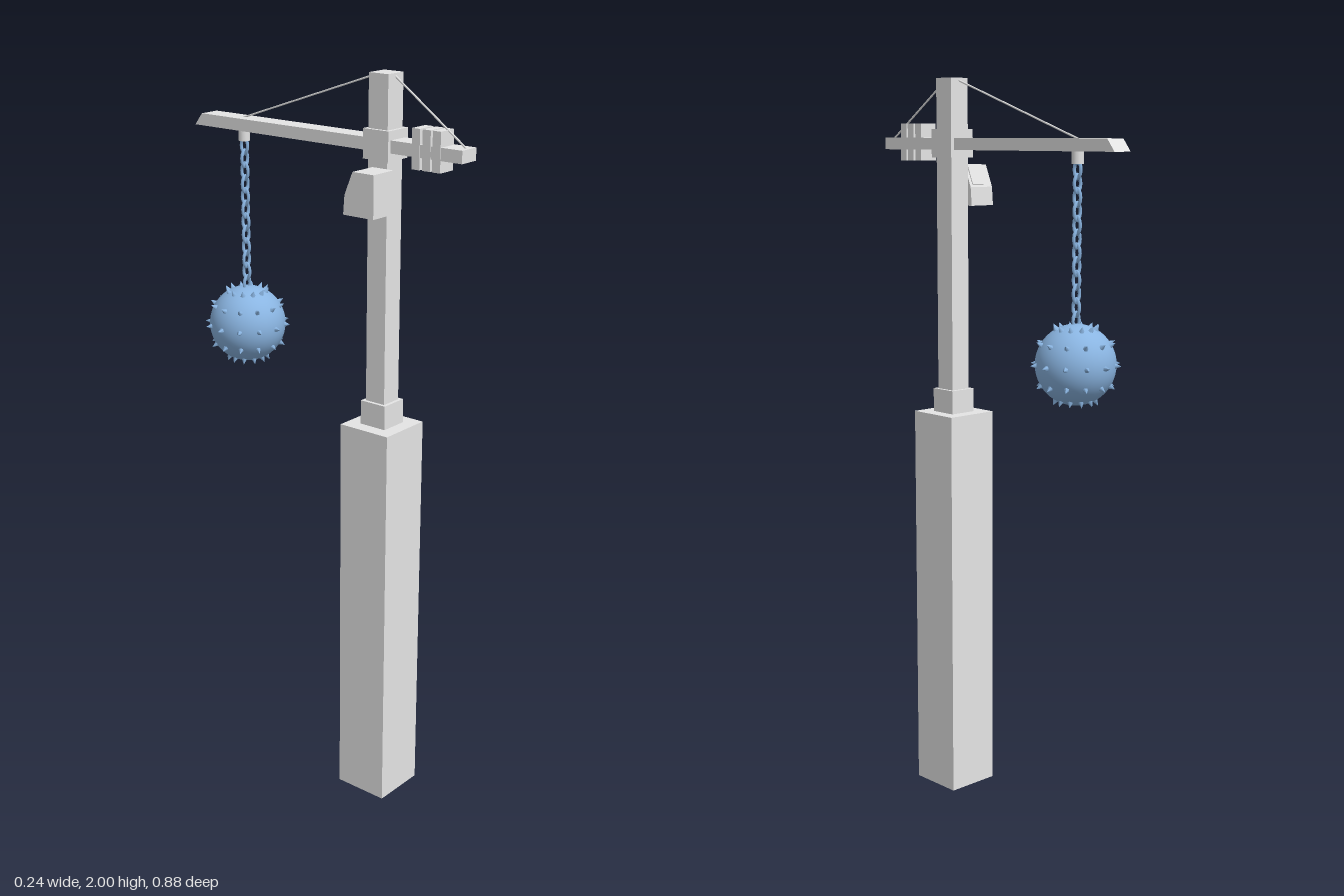
import * as THREE from 'three';

const mat = (name, color) => {
  const m = new THREE.MeshStandardMaterial({ color });
  m.name = name;
  return m;
};

export function createModel() {
  const model = new THREE.Group();
  model.name = 'wreckingBallCrane';
  const grey = mat('paleGrey', 0xe4e4e4);
  const blue = mat('steelBlue', 0x8ab5e2);

  const CX = -0.006, MZ = 0.186;           // mast axis
  const BALL = new THREE.Vector3(-0.001, 1.273, -0.293), R = 0.105;

  const add = (name, geo, material, x = 0, y = 0, z = 0, parent = model) => {
    const mesh = new THREE.Mesh(geo, material);
    mesh.name = name;
    mesh.position.set(x, y, z);
    parent.add(mesh);
    return mesh;
  };
  // Box from its limits
  const box = (name, x0, x1, y0, y1, z0, z1) =>
    add(name, new THREE.BoxGeometry(x1 - x0, y1 - y0, z1 - z0), grey,
      (x0 + x1) / 2, (y0 + y1) / 2, (z0 + z1) / 2);
  // Square column section centred on the mast axis
  const column = (name, w, y0, y1) =>
    box(name, CX - w / 2, CX + w / 2, y0, y1, MZ - w / 2, MZ + w / 2);
  // Side profile of [z, y] points, extruded from x0 to x1
  const profile = (name, pts, x0, x1) => {
    const shape = new THREE.Shape(pts.map(p => new THREE.Vector2(...p)));
    const geo = new THREE.ExtrudeGeometry(shape, { depth: x1 - x0, bevelEnabled: false });
    geo.rotateY(-Math.PI / 2);
    return add(name, geo, grey, x1);
  };

  // Tower
  column('basePillar', 0.154, 0, 1.09);
  column('mastFoot', 0.079, 1.09, 1.155);
  column('mast', 0.06, 1.155, 2);
  column('jibCollar', 0.079, 1.79, 1.865);

  // Jib with a bevelled tip, and its counterweights
  profile('jib', [[0.439, 1.81], [0.439, 1.842], [-0.414, 1.842], [-0.439, 1.81]], -0.036, 0.022);
  for (const z of [0.303, 0.335, 0.365])
    box('counterweight', -0.0375, 0.016, 1.78, 1.88, z - 0.012, z + 0.012);

  // Operator cab with a sloping windscreen
  profile('cab', [[0.236, 1.66], [0.236, 1.77], [0.17, 1.77], [0.145, 1.71], [0.141, 1.66]], -0.115, -0.036);
  const windscreen = add('windscreen', new THREE.BoxGeometry(0.062, 0.05, 0.005), grey, -0.076, 1.74, 0.1575);
  windscreen.rotation.x = Math.atan2(0.025, 0.06);

  // Stay cables from the mast top
  for (const [z0, z1] of [[0.214, 0.432], [0.158, -0.291]]) {
    const path = new THREE.LineCurve3(
      new THREE.Vector3(CX, 1.993, z0), new THREE.Vector3(CX, 1.84, z1));
    add('stayCable', new THREE.TubeGeometry(path, 1, 0.0026, 6), grey);
  }

  // Chain hanger and alternating oval links
  add('chainHanger', new THREE.CylinderGeometry(0.016, 0.016, 0.035, 12), grey, BALL.x, 1.796, BALL.z);
  const linkGeo = new THREE.TorusGeometry(0.0115, 0.0045, 6, 12);
  linkGeo.scale(1, 1.7, 1);
  const chain = new THREE.Group();
  chain.name = 'chain';
  model.add(chain);
  const links = 12;
  for (let i = 0; i < links; i++) {
    const link = add('chainLink', linkGeo, blue, BALL.x,
      THREE.MathUtils.lerp(1.765, 1.385, i / (links - 1)), BALL.z, chain);
    link.rotation.y = i % 2 ? 0 : Math.PI / 2;
  }

  // Spiked ball
  const ball = new THREE.Group();
  ball.name = 'wreckingBall';
  ball.position.copy(BALL);
  model.add(ball);
  add('ballBody', new THREE.SphereGeometry(R, 40, 28), blue, 0, 0, 0, ball);
  const spikeGeo = new THREE.ConeGeometry(0.0095, 0.02, 6);
  const up = new THREE.Vector3(0, 1, 0);
  for (const lat of [-60, -30, 0, 30, 60]) {
    for (let i = 0; i < 12; i++) {
      const dir = new THREE.Vector3().setFromSphericalCoords(
        1, THREE.MathUtils.degToRad(90 - lat), i * Math.PI / 6);
      const spike = add('spike', spikeGeo, blue, 0, 0, 0, ball);
      spike.position.copy(dir).multiplyScalar(R + 0.005);
      spike.quaternion.setFromUnitVectors(up, dir);
    }
  }
  return model;
}
